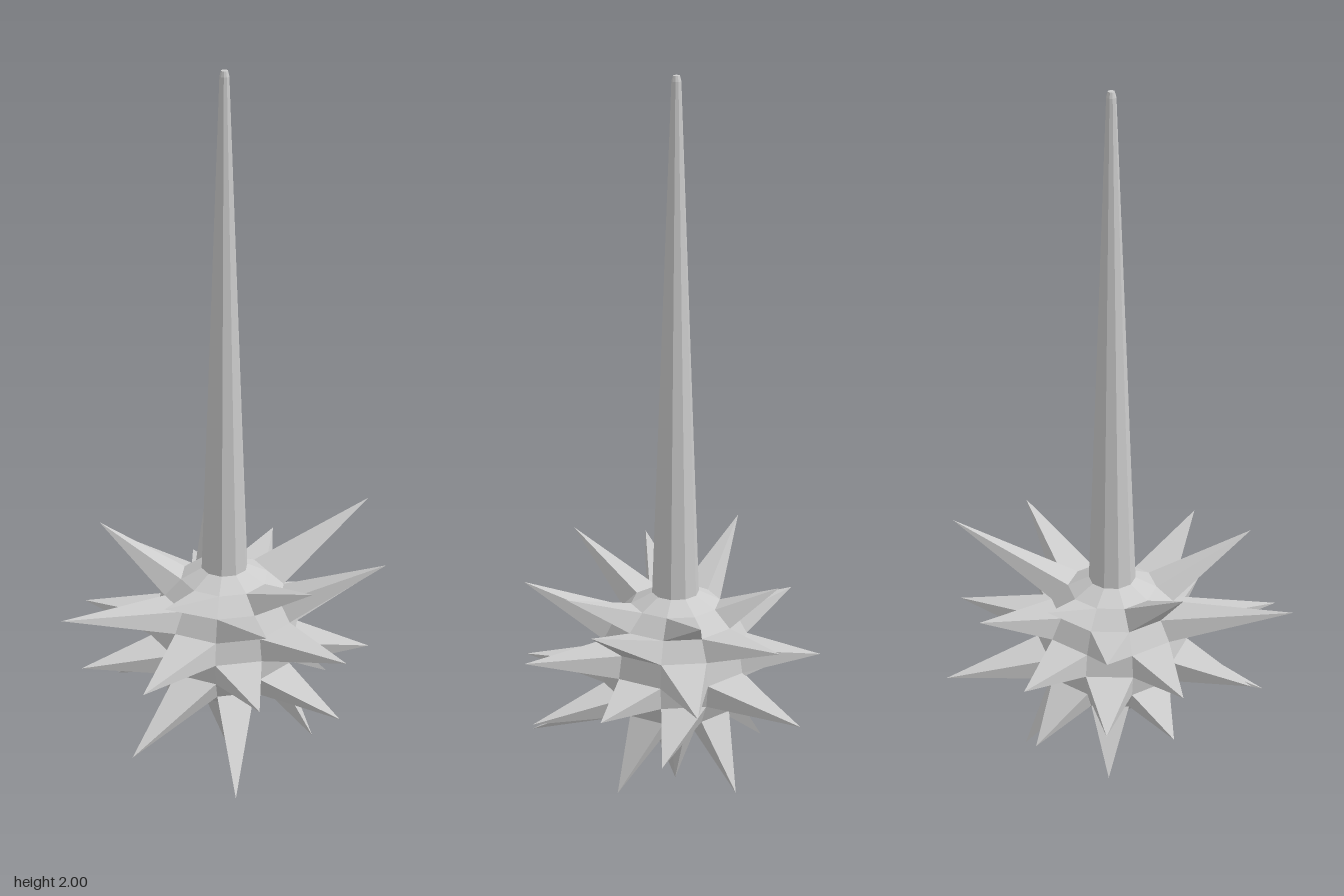
import * as THREE from 'three';

const R = 0.21, CY = 0.37, SIDES = 10, STEP = Math.PI / 10;
const AXIS = new THREE.Vector3(0.02, 0, -0.03);

// Spike tips per column around the ball, from upper to lower; even columns
// use ball bands 2, 4, 6 and odd columns bands 3, 5, 7 (checkerboard).
const TIPS = [
  [[0.02, 0.60, 0.295], [0.02, 0.435, 0.42], [0.02, 0.25, 0.40]],
  [[0.285, 0.60, 0.335], [0.26, 0.34, 0.30], [0.14, 0.055, 0.20]],
  [[0.475, 0.66, 0.11], [0.46, 0.40, 0.11], [0.28, 0.18, 0.13]],
  [[0.38, 0.50, -0.17], [0.475, 0.325, -0.185], [0.265, 0.05, -0.10]],
  [[0.185, 0.60, -0.265], [0.245, 0.41, -0.365], [0.22, 0.19, -0.31]],
  [[0.02, 0.52, -0.39], [0.02, 0.315, -0.43], [0.02, 0.08, -0.30]],
  [[-0.18, 0.68, -0.32], [-0.185, 0.41, -0.38], [-0.16, 0.20, -0.28]],
  [[-0.48, 0.55, -0.165], [-0.37, 0.335, -0.21], [-0.14, 0.08, -0.09]],
  [[-0.365, 0.645, 0.11], [-0.44, 0.41, 0.10], [-0.41, 0.165, 0.025]],
  [[-0.205, 0.575, 0.33], [-0.22, 0.35, 0.32], [-0.275, 0.085, 0.285]],
];

// Point on the ball: ring counted from the top, phi from +z towards +x
function ballPoint(ring, phi) {
  const r = R * Math.sin(ring * STEP);
  return new THREE.Vector3(r * Math.sin(phi), CY + R * Math.cos(ring * STEP), r * Math.cos(phi));
}

// Four-sided spike rising from one ball face
function spikeGeometry(column, band, tip) {
  const a = column * 2 * STEP - STEP, b = a + 2 * STEP;
  const base = [ballPoint(band + 1, a), ballPoint(band + 1, b), ballPoint(band, b), ballPoint(band, a)];
  const points = [];
  base.forEach((p, i) => points.push(p, base[(i + 1) % 4], tip));
  const geometry = new THREE.BufferGeometry().setFromPoints(points);
  geometry.computeVertexNormals();
  return geometry;
}

export function createModel() {
  const group = new THREE.Group();
  group.name = 'spikedMace';
  group.position.copy(AXIS);
  const material = new THREE.MeshStandardMaterial({ color: 0xcccccc, flatShading: true });
  const add = (name, geometry) => {
    const mesh = new THREE.Mesh(geometry, material);
    mesh.name = name;
    group.add(mesh);
  };
  const lathe = (profile) => new THREE.LatheGeometry(
    profile.map(([r, y]) => new THREE.Vector2(r, y)), SIDES, STEP);

  // Faceted ball, open at both poles where the handle and bottom spike join
  const rings = [];
  for (let k = 9; k >= 1; k--) {
    rings.push([R * Math.sin(k * STEP), CY + R * Math.cos(k * STEP)]);
  }
  add('ball', lathe(rings));

  // Tapered handle and bottom spike continue the polar rings
  add('handle', lathe([rings[8], [0.013, 1.985], [0.009, 2], [0, 2]]));
  add('bottomSpike', lathe([[0, 0], rings[0]]));

  // Spikes around the ball
  TIPS.forEach((tips, column) => tips.forEach((t, row) => {
    const tip = new THREE.Vector3(...t).sub(AXIS);
    add('spike', spikeGeometry(column, 2 + (column % 2) + 2 * row, tip));
  }));
  return group;
}
